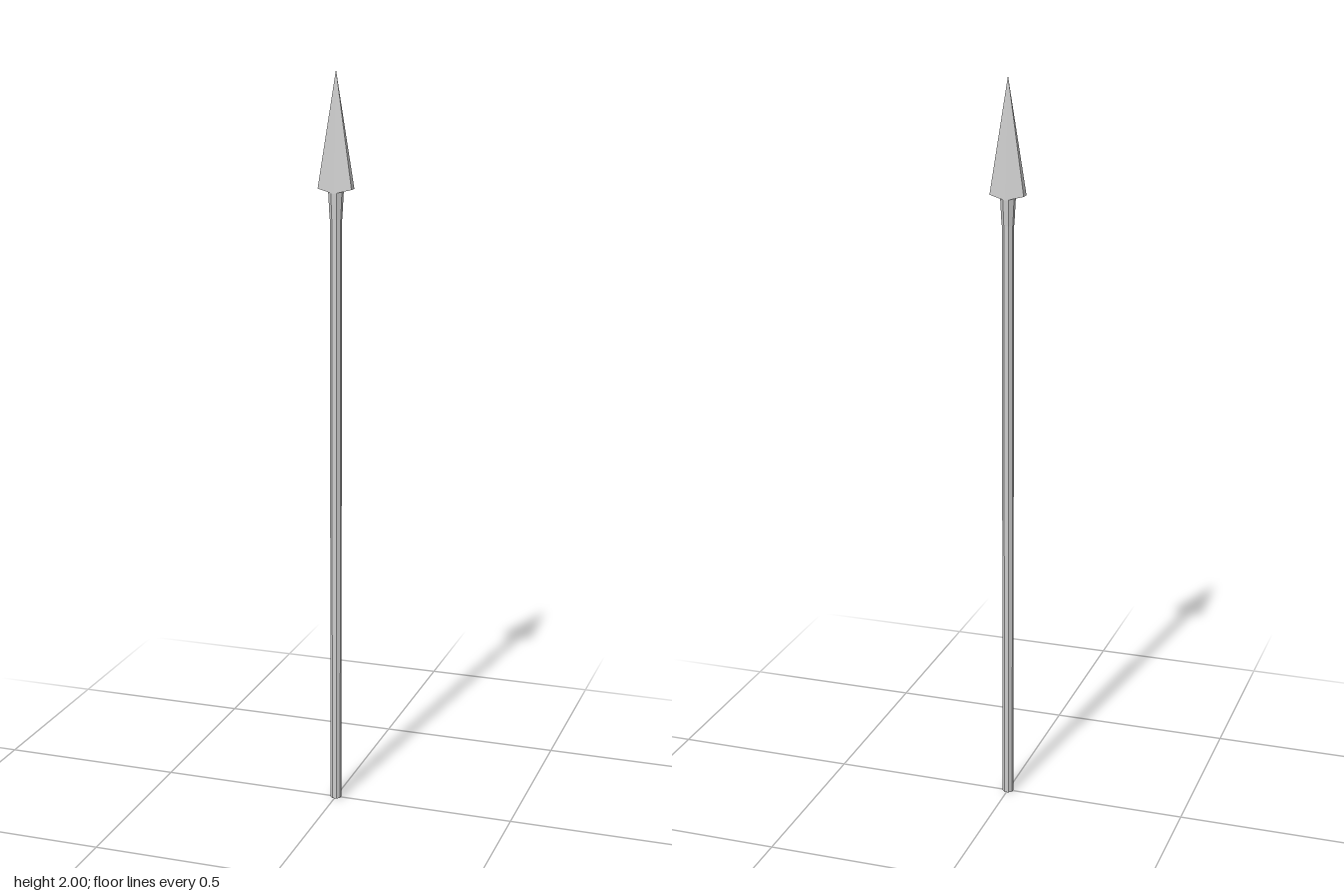
import * as THREE from 'three';
import { ConvexGeometry } from 'three/addons/geometries/ConvexGeometry.js';

export function createModel() {
  const group = new THREE.Group();
  const material = new THREE.MeshStandardMaterial({ color: 0xcccccc, flatShading: true });

  const add = (name, geometry) => {
    const mesh = new THREE.Mesh(geometry, material);
    mesh.name = name;
    group.add(mesh);
  };

  // Faceted round section between two heights
  const rod = (bottomRadius, topRadius, y0, y1) =>
    new THREE.CylinderGeometry(topRadius, bottomRadius, y1 - y0, 8)
      .rotateY(Math.PI / 8)
      .translate(0, (y0 + y1) / 2, 0);

  add('shaft', rod(0.0155, 0.0155, 0, 1.64));
  add('socket', rod(0.0165, 0.0205, 1.62, 1.695));

  // Blade: flattened hexagonal base, lower along the middle ridge, rising to a point
  const points = [new THREE.Vector3(0, 2, 0)];
  for (const s of [-1, 1]) {
    points.push(new THREE.Vector3(0, 1.687, s * 0.021));
    for (const x of [-0.046, 0.046]) points.push(new THREE.Vector3(x, 1.698, s * 0.012));
  }
  add('blade', new ConvexGeometry(points));

  return group;
}
